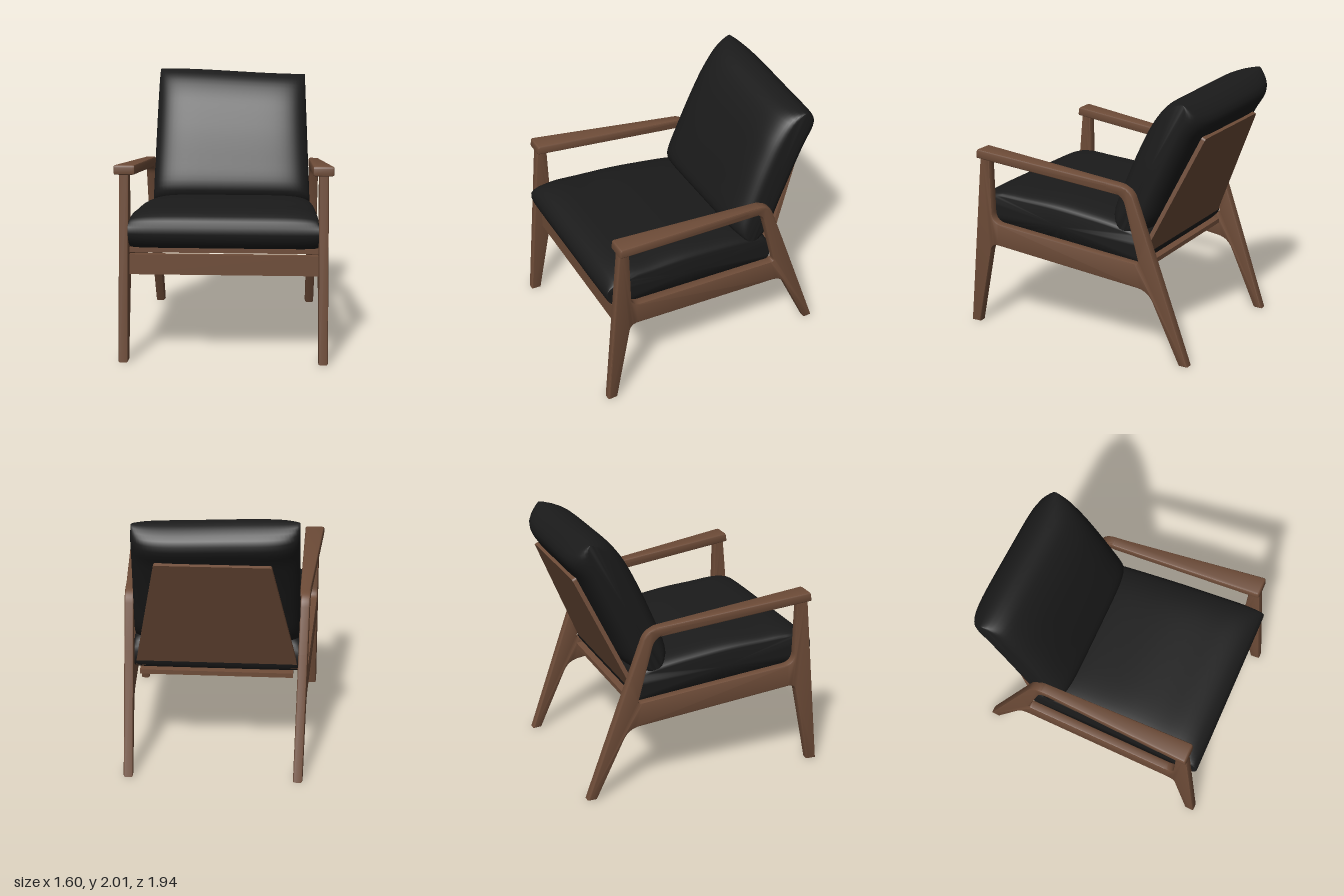
import * as THREE from 'three';
import { toCreasedNormals } from 'three/addons/utils/BufferGeometryUtils.js';

const wood = new THREE.MeshStandardMaterial({ color: 0x6e4c38 });
wood.name = 'brown wood';
const fabric = new THREE.MeshStandardMaterial({ color: 0x1b1b1b });
fabric.name = 'black fabric';

// Closed outline from [a, y, cornerRadius] points
function roundedOutline(path, pts) {
  const n = pts.length;
  const toward = (p, q, r) => {
    const d = Math.hypot(q[0] - p[0], q[1] - p[1]);
    return [p[0] + (q[0] - p[0]) * r / d, p[1] + (q[1] - p[1]) * r / d];
  };
  pts.forEach((p, i) => {
    const r = p[2] || 0;
    const a = r ? toward(p, pts[(i + n - 1) % n], r) : p;
    if (i === 0) path.moveTo(a[0], a[1]); else path.lineTo(a[0], a[1]);
    if (r) {
      const b = toward(p, pts[(i + 1) % n], r);
      path.quadraticCurveTo(p[0], p[1], b[0], b[1]);
    }
  });
  path.closePath();
  return path;
}

// Side profile (z, y) given unit width, then placed by centre(z) and width(z)
function sidePart(shape, side, bevel, centre, width) {
  const w = width(0);
  const geo = new THREE.ExtrudeGeometry(shape, {
    depth: w - 2 * bevel, bevelThickness: bevel, bevelSize: bevel,
    bevelOffset: -bevel, bevelSegments: 2, curveSegments: 8,
  });
  geo.translate(0, 0, -w / 2 + bevel);
  geo.rotateY(-Math.PI / 2);
  const pos = geo.attributes.position;
  for (let i = 0; i < pos.count; i++) {
    const z = pos.getZ(i);
    pos.setX(i, side * centre(z) + pos.getX(i) * width(z) / w);
  }
  return toCreasedNormals(geo, 0.6);
}

// Soft cushion: a smooth (z, y) profile lofted along x; endScale gives how far
// the two faces on either side of the middle plane thin out at the ends
function cushion(profile, { centre, angle, endScale, halfWidth, droop }) {
  const ring = 64, steps = 36;
  const curve = new THREE.CatmullRomCurve3(
    profile.map(([z, y]) => new THREE.Vector3(0, y, z)), true);
  const pts = curve.getSpacedPoints(ring).slice(0, ring);
  const c = Math.cos(angle), s = Math.sin(angle);
  const verts = [], index = [];
  for (let i = 0; i <= steps; i++) {
    const t = Math.sin((i / steps - 0.5) * Math.PI);
    const bulge = Math.sqrt(Math.max(0, 1 - t ** 6));
    for (const p of pts) {
      const dz = p.z - centre[0], dy = p.y - centre[1];
      const u = dz * c + dy * s, w = dy * c - dz * s;
      const end = endScale[w > 0 ? 0 : 1];
      const v = w * (end + (1 - end) * bulge);
      const z = centre[0] + u * c - v * s, y = centre[1] + u * s + v * c;
      const x = t * halfWidth(z, y, t), d = droop(x, y);
      verts.push(x, y - d, z + 0.7 * d);
    }
  }
  for (let i = 0; i < steps; i++) {
    for (let j = 0; j < ring; j++) {
      const k = (j + 1) % ring;
      const a = i * ring + j, b = i * ring + k;
      index.push(a, b, b + ring, a, b + ring, a + ring);
    }
  }
  // End caps
  for (const row of [0, steps]) {
    const mid = verts.length / 3, sum = [0, 0, 0];
    for (let j = 0; j < ring; j++)
      for (let m = 0; m < 3; m++) sum[m] += verts[(row * ring + j) * 3 + m] / ring;
    verts.push(...sum);
    for (let j = 0; j < ring; j++) {
      const a = row * ring + j, b = row * ring + (j + 1) % ring;
      if (row) index.push(mid, a, b); else index.push(mid, b, a);
    }
  }
  const geo = new THREE.BufferGeometry();
  geo.setAttribute('position', new THREE.Float32BufferAttribute(verts, 3));
  geo.setIndex(index);
  return toCreasedNormals(geo, 0.9);
}

export function createModel() {
  const model = new THREE.Group();
  const add = (name, geo, mat) => {
    const mesh = new THREE.Mesh(geo, mat);
    mesh.name = name;
    model.add(mesh);
    return mesh;
  };
  const box = (name, w, y0, y1, z0, z1) =>
    add(name, new THREE.BoxGeometry(w, y1 - y0, z1 - z0), wood)
      .position.set(0, (y0 + y1) / 2, (z0 + z1) / 2);

  // Side frames: both legs, side rail and rear bend in one piece
  const frame = roundedOutline(new THREE.Shape(), [
    [0.965, 0], [0.89, 0], [0.755, 0.68, 0.06], [-0.6, 0.545, 0.09],
    [-0.86, 0], [-0.93, 0], [-0.59, 0.95, 0.05], [-0.455, 1.32, 0.09],
    [0.83, 1.435],
  ].reverse());
  frame.holes.push(roundedOutline(new THREE.Path(), [
    [0.755, 1.385], [0.745, 0.86, 0.08], [-0.525, 0.74, 0.03], [-0.39, 1.257, 0.08],
  ]));
  // Armrests: wide at the front, narrowing towards the bend
  const arm = roundedOutline(new THREE.Shape(), [
    [0.85, 1.375, 0.015], [0.84, 1.447, 0.02], [-0.38, 1.328, 0.02], [-0.43, 1.30, 0.02],
    [-0.36, 1.252, 0.01],
  ]);
  for (const side of [1, -1]) {
    const label = side > 0 ? 'left' : 'right';
    add(label + 'SideFrame',
      sidePart(frame, side, 0.012, z => 0.684 + 0.05 * z, () => 0.07), wood);
    add(label + 'Armrest',
      sidePart(arm, side, 0.012, z => 0.678 + 0.052 * z, z => 0.1 + 0.0654 * z), wood);
  }

  // Front rail with a slim slat above it
  box('frontRail', 1.39, 0.635, 0.785, 0.79, 0.835);
  box('frontSlat', 1.39, 0.80, 0.835, 0.80, 0.835);

  // Sloping seat board, narrower at the rear
  const seat = new THREE.BoxGeometry(1, 0.035, 1.25);
  const sp = seat.attributes.position;
  for (let i = 0; i < sp.count; i++) {
    const z = sp.getZ(i) + 0.085;
    sp.setXYZ(i, sp.getX(i) * (1.18 + 0.03 * z), sp.getY(i) + 0.75 + 0.094 * z, z);
  }
  seat.computeVertexNormals();
  add('seatBoard', seat, wood);

  // Leaning back board, tapering upwards
  const back = roundedOutline(new THREE.Shape(), [
    [-0.62, 0], [0.62, 0], [0.42, 1.045, 0.02], [-0.42, 1.045, 0.02],
  ]);
  const board = add('backBoard',
    new THREE.ExtrudeGeometry(back, { depth: 0.032, bevelEnabled: false }), wood);
  board.rotation.x = -0.417;
  board.position.set(0, 0.735, -0.495);

  // Cushions: the seat sinks around its board, the back leans on its own
  add('seatCushion', cushion([
    [0.87, 0.86], [0.8, 0.82], [0.74, 0.815], [0.6, 0.805], [0.2, 0.77], [-0.2, 0.735],
    [-0.48, 0.715], [-0.51, 0.75], [-0.51, 0.9], [-0.46, 0.98], [-0.3, 1.03], [0, 1.075],
    [0.25, 1.1], [0.5, 1.105], [0.74, 1.105], [0.87, 1.06], [0.908, 1.01], [0.91, 0.93],
  ], {
    centre: [0.2, 0.93], angle: 0.1, endScale: [0.55, 0.9],
    halfWidth: z => 0.65 + 0.046 * z, droop: () => 0,
  }), fabric);
  add('backCushion', cushion([
    [-0.225, 1.08], [-0.26, 1.01], [-0.36, 0.955], [-0.46, 0.935], [-0.56, 1.0],
    [-0.68, 1.25], [-0.795, 1.5], [-0.89, 1.69], [-0.968, 1.82], [-0.968, 1.885],
    [-0.86, 1.995], [-0.77, 2.005], [-0.67, 1.97], [-0.55, 1.84], [-0.425, 1.61],
    [-0.3, 1.32], [-0.235, 1.15],
  ], {
    centre: [-0.59, 1.48], angle: Math.PI - 1.13, endScale: [0.28, 0.4],
    halfWidth: (z, y, t) => 0.63 - (t > 0 ? 0.045 : 0.015) * (y - 1),
    droop: (x, y) => (y - 1) * (0.018 + 0.02 * Math.sin(2.6 * x)),
  }), fabric);

  return model;
}
